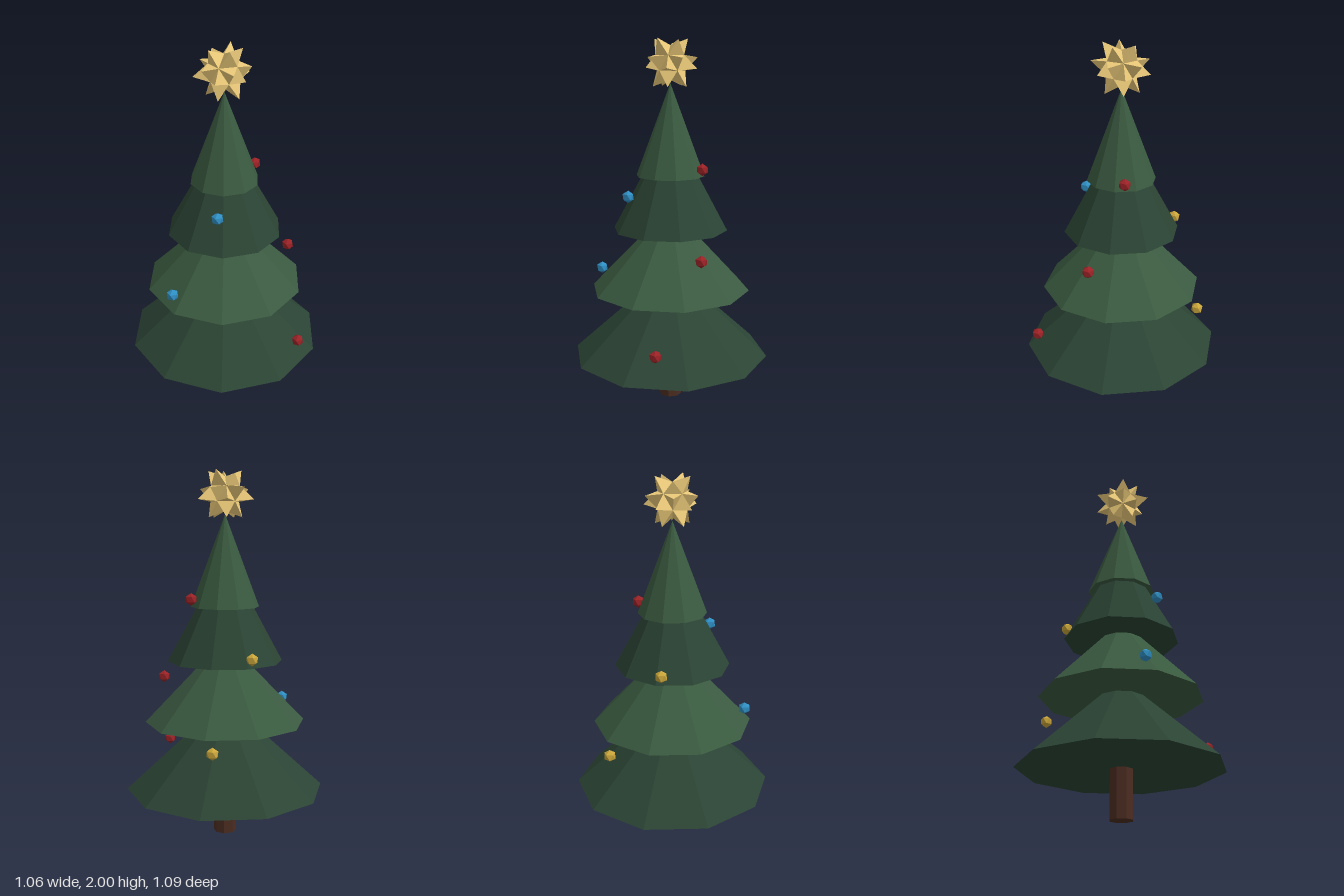
import * as THREE from 'three';

const mat = (color) => new THREE.MeshStandardMaterial({ color, flatShading: true });

// Spiky ball: a pole-up icosahedron with a pyramid raised on each face
function spikyStar(r) {
  const at = (deg, y, radius) => {
    const a = THREE.MathUtils.degToRad(deg);
    return new THREE.Vector3(Math.cos(a) * radius, y, Math.sin(a) * radius);
  };
  const h = r / Math.sqrt(5);
  const top = new THREE.Vector3(0, r, 0);
  const bottom = new THREE.Vector3(0, -r, 0);
  const upper = (k) => at(72 * k, h, 2 * h);
  const lower = (k) => at(72 * k + 36, -h, 2 * h);
  // slightly uneven spike lengths, one list per ring of faces
  const lengths = [
    [0.16, 0.155, 0.13, 0.155, 0.15],
    [0.163, 0.138, 0.161, 0.15, 0.14],
    [0.134, 0.161, 0.152, 0.158, 0.137],
    [0.155, 0.155, 0.155, 0.155, 0.155],
  ];
  const points = [];
  for (let k = 0; k < 5; k++) {
    const faces = [
      [top, upper(k + 1), upper(k)],
      [upper(k), upper(k + 1), lower(k)],
      [lower(k), upper(k + 1), lower(k + 1)],
      [bottom, lower(k), lower(k + 1)],
    ];
    faces.forEach((f, ring) => {
      const tip = new THREE.Vector3().add(f[0]).add(f[1]).add(f[2]).setLength(lengths[ring][k]);
      for (let i = 0; i < 3; i++) points.push(f[i], f[(i + 1) % 3], tip);
    });
  }
  const geo = new THREE.BufferGeometry().setFromPoints(points);
  geo.computeVertexNormals();
  return geo;
}

export function createModel() {
  const model = new THREE.Group();
  model.name = 'decoratedTree';
  const axisX = -0.012;

  const add = (name, geo, material, x, y, z) => {
    const mesh = new THREE.Mesh(geo, material);
    mesh.name = name;
    mesh.position.set(x, y, z);
    model.add(mesh);
    return mesh;
  };

  // Trunk
  add('trunk', new THREE.CylinderGeometry(0.063, 0.063, 0.3, 8), mat(0x4a2c20), axisX, 0.15, 0);

  // Foliage tiers: base height, radius, cone height
  const dark = mat(0x2b4434);
  const light = mat(0x3a5a40);
  const tiers = [
    [0.257, 0.546, 0.5],
    [0.638, 0.44, 0.46],
    [0.976, 0.314, 0.58],
    [1.272, 0.186, 0.495],
  ];
  tiers.forEach(([y, r, h], i) =>
    add(`foliageTier${i + 1}`, new THREE.ConeGeometry(r, h, 10), i % 2 ? light : dark, axisX, y + h / 2, 0));

  // Baubles
  const baubleGeo = new THREE.IcosahedronGeometry(0.034, 0).rotateZ(-0.5536);
  const red = mat(0x9b2226);
  const gold = mat(0xc9a53a);
  const blue = mat(0x2f8fc4);
  const baubles = [
    [red, 0.5, 0.43, 0],
    [gold, -0.313, 0.577, -0.343],
    [blue, -0.056, 0.724, 0.4],
    [red, 0.275, 0.872, -0.204],
    [gold, -0.304, 1.022, -0.068],
    [blue, 0.106, 1.17, 0.211],
    [red, 0.054, 1.317, -0.182],
  ];
  baubles.forEach(([m, x, y, z], i) => add(`bauble${i + 1}`, baubleGeo, m, x, y, z));

  // Tree-top star
  add('star', spikyStar(0.09), mat(0xe9c878), axisX, 1.872, 0);

  return model;
}
